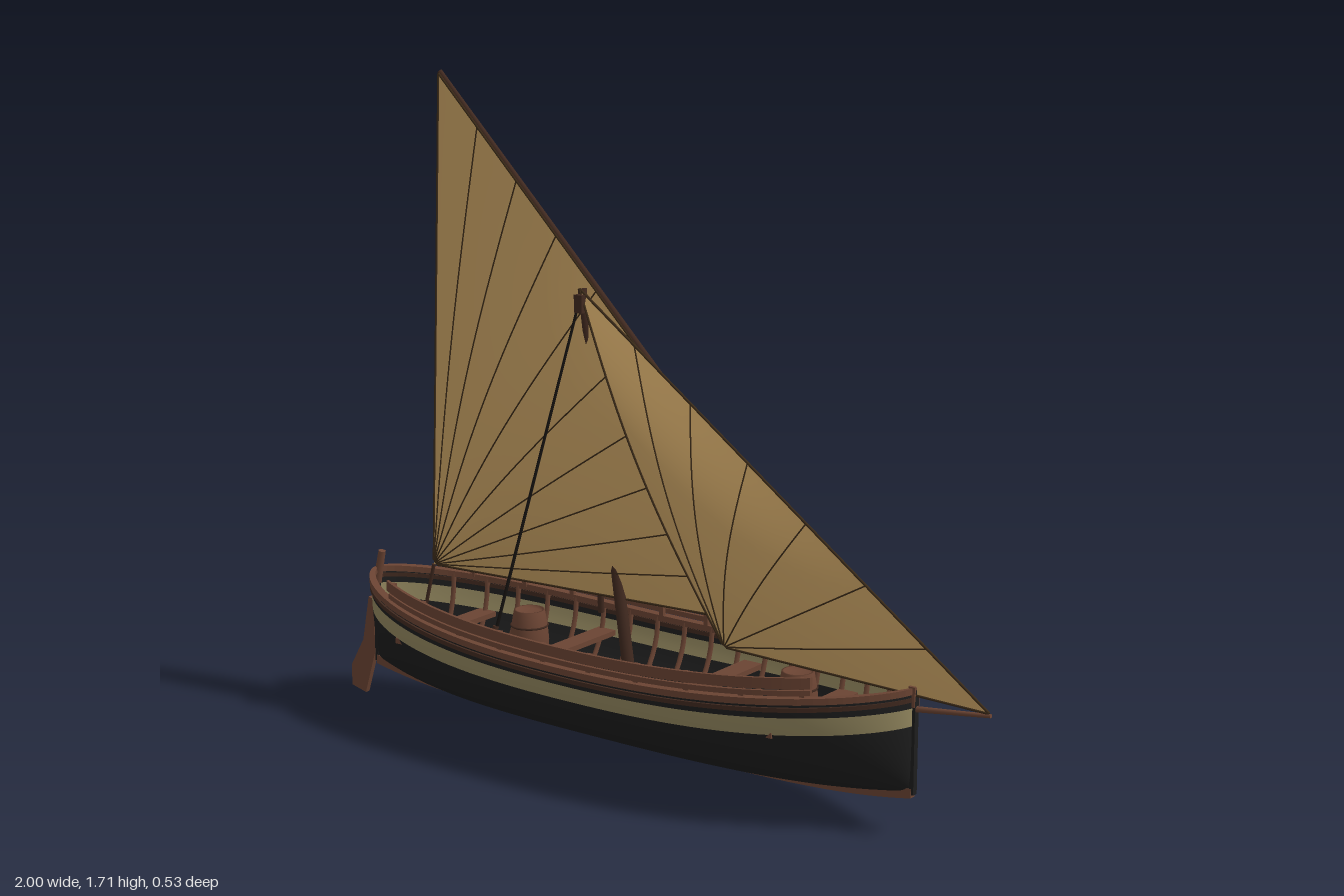
import * as THREE from 'three';
import { ParametricGeometry } from 'three/addons/geometries/ParametricGeometry.js';

const V = (x, y, z) => new THREE.Vector3(x, y, z);
const mat = (name, color, side = THREE.FrontSide) => {
  const m = new THREE.MeshStandardMaterial({ color, side });
  m.name = name;
  return m;
};

// hull lines: half width, sheer height, bottom height and section
const CX = -0.055, HALF = 0.85;
const T = x => Math.min(1, Math.abs((x - CX) / HALF));
const width = x => 0.256 * Math.pow(1 - Math.pow(T(x), 2.8), 0.65);
const sheer = x => 0.3 + 0.055 * T(x) ** 2;
const bottom = x => 0.066 + 0.042 * T(x) ** 4;
const hullZ = (x, h) => width(x) * Math.sqrt(Math.max(0, 1 - (1 - h) ** 2));
const hullY = (x, h) => bottom(x) + (sheer(x) - bottom(x)) * h;
// stations crowded toward the ends
const stations = (x0, x1, n) => {
  const f = x => Math.asin(THREE.MathUtils.clamp((x - CX) / HALF, -1, 1));
  return Array.from({ length: n + 1 }, (_, i) => CX + HALF * Math.sin(f(x0) + (f(x1) - f(x0)) * i / n));
};

// closed skin over equal cross-section loops running toward +x
function loft(rings) {
  const pos = [], idx = [], n = rings[0].length;
  rings.forEach(r => r.forEach(p => pos.push(p.x, p.y, p.z)));
  for (let i = 0; i < rings.length - 1; i++) for (let j = 0; j < n; j++) {
    const a = i * n + j, b = i * n + (j + 1) % n;
    idx.push(a, a + n, b + n, a, b + n, b);
  }
  const e = (rings.length - 1) * n;
  for (let j = 1; j < n - 1; j++) idx.push(0, j, j + 1, e, e + j + 1, e + j);
  let g = new THREE.BufferGeometry();
  g.setAttribute('position', new THREE.Float32BufferAttribute(pos, 3));
  g.setIndex(idx);
  g = g.toNonIndexed();
  g.computeVertexNormals();
  return g;
}

export function createModel() {
  const model = new THREE.Group();
  model.name = 'sailingBoat';
  const black = mat('hull black', 0x1d1d1d, THREE.DoubleSide);
  const cream = mat('stripe cream', 0x958960, THREE.DoubleSide);
  const wood = mat('brown wood', 0x6b4433);
  const dark = mat('dark wood', 0x40291f);
  const canvas = mat('sail canvas', 0xcda566, THREE.DoubleSide);
  const rope = mat('rope black', 0x14110f);
  const seamMat = mat('seam brown', 0x3a2a18);

  const add = (name, geo, m, p) => {
    const mesh = new THREE.Mesh(geo, m);
    mesh.name = name;
    if (p) mesh.position.copy(p);
    model.add(mesh);
    return mesh;
  };
  const box = (name, w, h, d, x, y, z, m = wood) => add(name, new THREE.BoxGeometry(w, h, d), m, V(x, y, z));
  const spar = (name, p, q, r0, r1, m) => {
    const d = q.clone().sub(p);
    const s = add(name, new THREE.CylinderGeometry(r1, r0, d.length(), 10), m, p.clone().add(q).multiplyScalar(0.5));
    s.quaternion.setFromUnitVectors(V(0, 1, 0), d.normalize());
    return s;
  };
  const tube = (name, pts, r, m, n = 20) =>
    add(name, new THREE.TubeGeometry(new THREE.CatmullRomCurve3(pts), n, r, 5), m);

  // hull shell in bands, both sides
  const band = (name, h0, h1, m, rows) => {
    const a0 = Math.acos(1 - h0), a1 = Math.acos(1 - h1);
    for (const s of [1, -1]) {
      const g = new ParametricGeometry((u, v, t) => {
        const x = CX + HALF * Math.sin((u - 0.5) * Math.PI);
        const h = 1 - Math.cos(a0 + (a1 - a0) * v);
        t.set(x, hullY(x, h), s * hullZ(x, h));
      }, 64, rows);
      g.computeVertexNormals();
      add(name, g, m);
    }
  };
  band('hullBottom', 0, 0.66, black, 14);
  band('hullStripe', 0.66, 0.84, cream, 3);
  band('topStrake', 0.84, 1, black, 3);

  // strakes and rails that follow the hull outline
  const strake = (name, x0, x1, y0, y1, out, th, m = wood) => {
    const g = loft(stations(x0, x1, 48).map(x => {
      const zo = width(x) + out, zi = Math.max(0, zo - th), y = sheer(x);
      return [V(x, y + y0, zi), V(x, y + y0, zo), V(x, y + y1, zo), V(x, y + y1, zi)];
    }));
    add(name, g, m);
    add(name, g, m).scale.z = -1;
  };
  const X0 = CX - HALF, X1 = CX + HALF;
  strake('gunwale', X0, X1, -0.006, 0.01, 0.007, 0.024);
  strake('rubbingStrake', X0, X1, -0.024, -0.013, 0.006, 0.009, dark);
  strake('lowerRail', -0.71, 0.61, 0.016, 0.029, 0.002, 0.009);
  strake('upperRail', -0.72, 0.61, 0.033, 0.06, 0.002, 0.009);
  for (let i = 0; i < 10; i++) for (const s of [1, -1]) {
    const x = -0.7 + i * 0.143;
    box('railPost', 0.014, 0.055, 0.01, x, sheer(x) + 0.03, s * (width(x) - 0.012));
  }

  // keel, stem and stern posts
  add('keel', loft(stations(X0, X1, 40).map(x => {
    const y = bottom(x);
    return [V(x, y - 0.016, -0.009), V(x, y - 0.016, 0.009), V(x, y + 0.008, 0.009), V(x, y + 0.008, -0.009)];
  })), wood);
  box('stem', 0.012, 0.26, 0.016, X1, 0.23, 0, black);
  box('stemHead', 0.018, 0.05, 0.022, X1 - 0.003, 0.343, 0);
  box('sternPost', 0.012, 0.26, 0.016, X0, 0.23, 0, black);
  spar('sternHead', V(-0.905, 0.32, 0), V(-0.885, 0.41, 0), 0.012, 0.01, wood);

  // rudder
  const rs = new THREE.Shape([[-0.912, 0.27], [-0.932, 0.275], [-0.955, 0.15], [-1, 0.07], [-1, 0.012],
    [-0.95, 0], [-0.913, 0.12]].map(p => new THREE.Vector2(...p)));
  add('rudder', new THREE.ExtrudeGeometry(rs, { depth: 0.014, bevelEnabled: false }), wood, V(0, 0, -0.007));

  // inner ribs
  for (let i = 0; i < 17; i++) for (const s of [1, -1]) {
    const x = -0.75 + i * 0.087;
    const pts = [0.12, 0.3, 0.5, 0.75, 1].map(h => V(x, hullY(x, h) + 0.004, s * (hullZ(x, h) - 0.011)));
    tube('rib', pts, 0.007, wood, 10);
  }

  // floor planks with uneven ends
  for (let i = 0; i < 30; i++) {
    const x = -0.72 + i * 0.047, y = 0.135;
    const h = (y - bottom(x)) / (sheer(x) - bottom(x));
    const w = hullZ(x, h) - 0.012 - 0.014 * ((i * 7) % 3) / 2;
    box('floorPlank', 0.043, 0.01, 2 * w, x, y + 0.002 * (i % 2), 0);
  }
  // rowing benches
  for (const x of [-0.66, -0.3, 0.17, 0.49]) {
    box('bench', 0.055, 0.014, 2 * (hullZ(x, 0.7) - 0.008), x, 0.238, 0);
  }
  // deck boxes and slatted grate
  for (const x of [-0.17, 0.05]) {
    box('deckBox', 0.16, 0.05, 0.08, x, 0.165, 0.09);
    box('deckBoxLid', 0.17, 0.008, 0.09, x, 0.193, 0.09);
  }
  for (let i = 0; i < 9; i++) box('grateSlat', 0.014, 0.014, 0.075, -0.21 + i * 0.029, 0.19, -0.095, rope);
  for (const z of [-0.12, -0.07]) box('grateRunner', 0.26, 0.012, 0.01, -0.095, 0.18, z, rope);

  // barrels
  const profile = [[0, 0], [0.04, 0], [0.05, 0.05], [0.052, 0.08], [0.048, 0.12], [0.041, 0.16], [0.036, 0.16],
    [0.035, 0.152], [0, 0.152]].map(p => new THREE.Vector2(...p));
  for (const x of [-0.49, 0.37]) {
    add('barrel', new THREE.LatheGeometry(profile, 20), wood, V(x, 0.125, -0.14));
    for (const y of [0.045, 0.118]) {
      add('barrelHoop', new THREE.TorusGeometry(0.049, 0.003, 5, 20), dark, V(x, 0.125 + y, -0.14)).rotation.x = Math.PI / 2;
    }
  }

  // mast, yard, bowsprit
  const head = V(-0.2, 1.2, -0.008);
  spar('mast', V(-0.03, 0.12, 0.002), head, 0.017, 0.012, dark);
  spar('mastStep', V(-0.03, 0.12, 0.002), V(-0.038, 0.17, 0.002), 0.03, 0.026, wood);
  spar('yard', V(0.6, 0.44, -0.022), V(-0.67, 1.705, -0.022), 0.011, 0.007, dark);
  spar('bowsprit', V(0.66, 0.295, 0), V(1, 0.337, 0), 0.009, 0.005, wood);
  box('mastBlock', 0.025, 0.045, 0.025, -0.192, 1.165, 0.008, dark);

  // sails: rays from one corner to the opposite edge, bellied toward +z
  const sail = (name, corner, a, b, belly, seams) => {
    const at = (u, v, t = V()) => {
      t.copy(a).lerp(b, u).sub(corner).multiplyScalar(v).add(corner);
      t.z += belly(u, v);
      return t;
    };
    const g = new ParametricGeometry((u, v, t) => at(u, v, t), 32, 24);
    g.computeVertexNormals();
    add(name, g, canvas);
    const ray = u => Array.from({ length: 13 }, (_, i) => {
      const p = at(u, 0.01 + 0.99 * i / 12);
      p.z += 0.0015;
      return p;
    });
    for (let i = 1; i < seams; i++) tube(name + 'Seam', ray(i / seams), 0.002, seamMat, 24);
    for (const u of [0, 1]) tube(name + 'EdgeRope', ray(u), 0.003, seamMat, 24);
    spar(name + 'HeadRope', a, b, 0.0035, 0.0035, seamMat);
  };
  const arc = v => Math.sin(Math.PI * v);
  sail('mainSail', V(-0.7, 0.405, 0), V(-0.668, 1.7, -0.015), V(0.6, 0.44, -0.015),
    (u, v) => 0.056 * arc(v) * arc(u), 10);
  sail('jib', V(0.25, 0.36, 0.006), V(-0.2, 1.2, 0.002), V(0.995, 0.342, 0),
    (u, v) => 0.047 * arc(v) * Math.cos(u * Math.PI / 2), 7);

  // standing and running rigging
  for (const s of [1, -1]) {
    spar('shroud', V(-0.312, 0.31, s * 0.222), V(-0.2, 1.18, 0), 0.0045, 0.0035, rope);
    spar('shroudToggle', V(-0.315, 0.29, s * 0.225), V(-0.307, 0.36, s * 0.212), 0.009, 0.008, dark);
  }
  spar('jibHalyard', V(0.157, 0.56, -0.004), V(-0.195, 1.18, -0.012), 0.006, 0.006, dark);
  spar('jibSheet', V(0.25, 0.365, 0.006), V(0.157, 0.58, 0.006), 0.005, 0.005, dark);
  spar('mainSheet', V(-0.7, 0.405, 0), V(-0.74, 0.25, 0), 0.005, 0.005, dark);

  return model;
}
